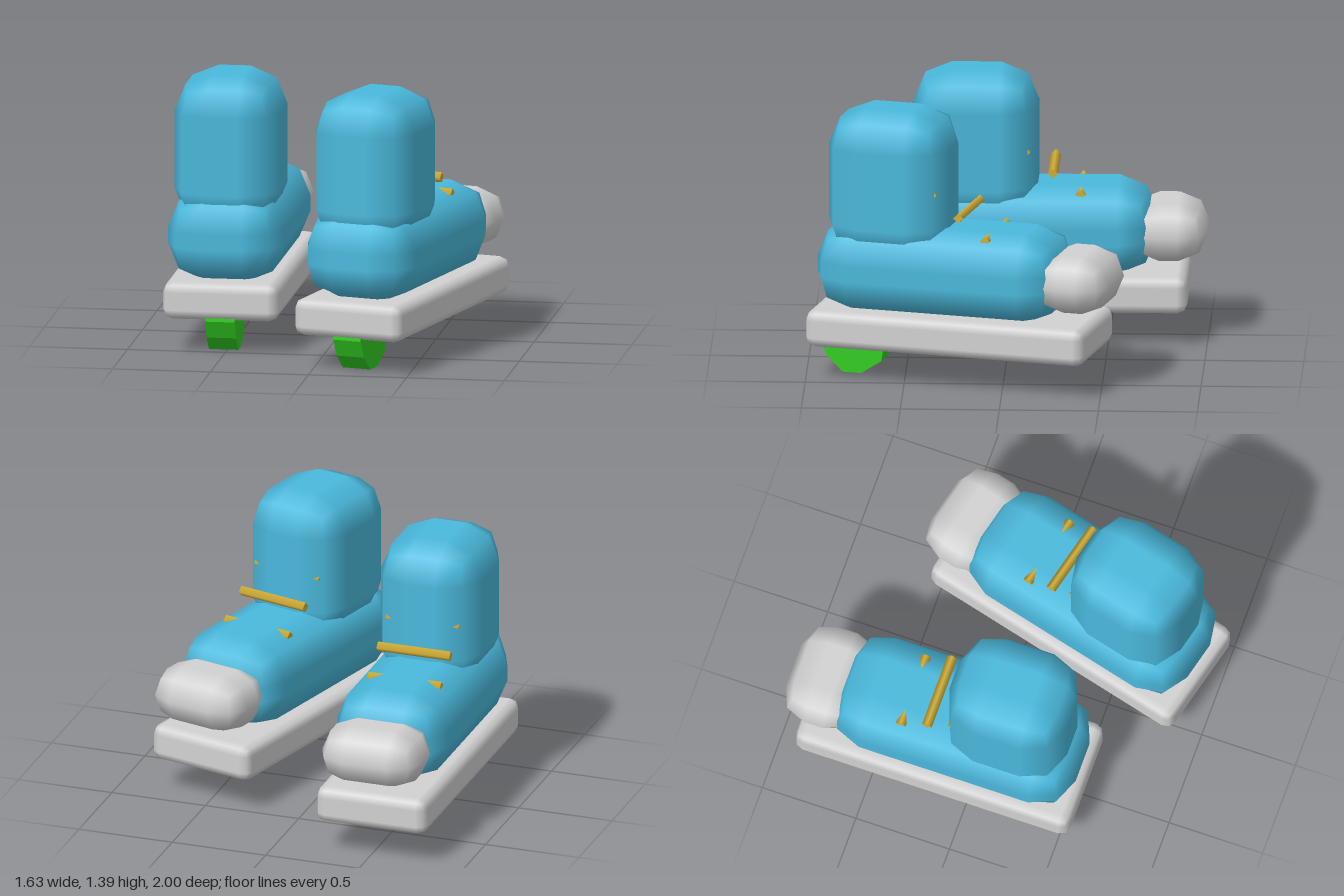
import * as THREE from 'three';
import { RoundedBoxGeometry } from 'three/addons/geometries/RoundedBoxGeometry.js';

const mat = (name, color) => {
  const m = new THREE.MeshStandardMaterial({ color });
  m.name = name;
  return m;
};

export function createModel() {
  const blue = mat('blue', 0x4ab9dc);
  const grey = mat('light grey', 0xd2d2d2);
  const green = mat('green', 0x32cd22);
  const gold = mat('gold', 0xd4af37);

  // Softly bevelled block given by its y and z ranges
  const block = (name, width, [y0, y1], [z0, z1], radius, material) => {
    const mesh = new THREE.Mesh(new RoundedBoxGeometry(width, y1 - y0, z1 - z0, 1, radius), material);
    mesh.position.set(0, (y0 + y1) / 2, (z0 + z1) / 2);
    mesh.name = name;
    return mesh;
  };

  function makeShoe(name) {
    const shoe = new THREE.Group();
    shoe.name = name;
    shoe.add(
      block('sole', 0.59, [0.17, 0.36], [-0.9, 0.565], 0.05, grey),
      block('shoeBody', 0.59, [0.34, 0.80], [-0.74, 0.545], 0.19, blue),
      block('ankle', 0.54, [0.61, 1.39], [-0.14, 0.49], 0.19, blue),
      block('toeCap', 0.54, [0.41, 0.71], [-1.0, -0.6], 0.15, grey)
    );

    // Lace bars stepping up the instep
    [[0.77, -0.36], [0.88, -0.22], [0.99, -0.08]].forEach(([y, z]) => {
      const lace = new THREE.Mesh(new THREE.CylinderGeometry(0.026, 0.026, 0.39, 4), gold);
      lace.rotation.z = Math.PI / 2;
      lace.position.set(0, y, z);
      lace.name = 'lace';
      shoe.add(lace);
    });

    // Faceted stopper wheel, profile in (z, y)
    const profile = [[0.2, 0.25], [0.204, 0.165], [0.22, 0.07], [0.327, 0], [0.424, 0],
      [0.504, 0.075], [0.547, 0.165], [0.54, 0.25]];
    const shape = new THREE.Shape(profile.map(([z, y]) => new THREE.Vector2(-z, y)));
    const wheelGeo = new THREE.ExtrudeGeometry(shape, { depth: 0.15, bevelEnabled: false });
    wheelGeo.translate(0, 0, -0.075).rotateY(Math.PI / 2);
    const wheel = new THREE.Mesh(wheelGeo, green);
    wheel.name = 'wheel';
    shoe.add(wheel);
    return shoe;
  }

  const model = new THREE.Group();
  model.name = 'pairOfSkates';
  const right = makeShoe('rightSkate');
  right.position.set(-0.52, 0, 0);
  const left = makeShoe('leftSkate');
  left.position.set(0.32, 0, 0.39);
  left.rotation.y = -0.25;
  model.add(right, left);
  return model;
}
